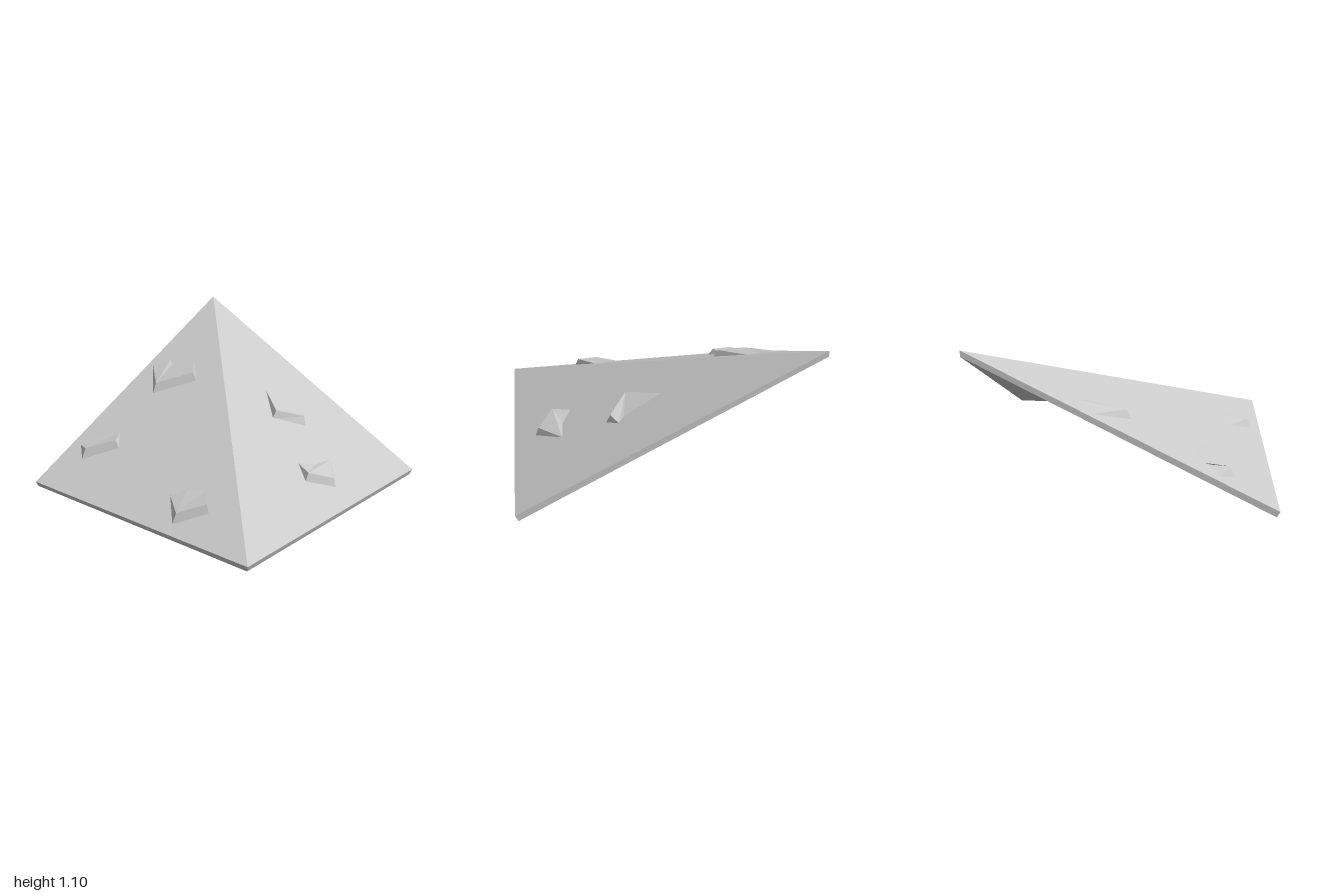
import * as THREE from 'three';

const material = new THREE.MeshStandardMaterial({ color: 0xcccccc, flatShading: true });
const v = (x, y, z) => new THREE.Vector3(x, y, z);

// Mesh from convex polygons given as lists of corners, fanned from the first corner
function facetMesh(name, polygons) {
  const points = [];
  for (const p of polygons)
    for (let i = 1; i < p.length - 1; i++) points.push(p[0], p[i], p[i + 1]);
  const geometry = new THREE.BufferGeometry().setFromPoints(points);
  geometry.computeVertexNormals();
  const mesh = new THREE.Mesh(geometry, material);
  mesh.name = name;
  return mesh;
}

// Roof corners, each with its upper and lower point
const peak = [v(-1, 1.1, -1), v(-1, 1.06, -1)];
const leftEave = [v(-1, 0.05, 1), v(-1, 0.01, 0.98)];
const hipFoot = [v(0.975, 0.045, 0.965), v(0.955, 0, 0.945)];
const rightEave = [v(1, 0.045, -1), v(0.98, 0, -1)];

// Triangular slab; the edge along the hip is shared and left open
function slab(name, corners, outerEdges) {
  const [a, b, c] = corners;
  const rims = outerEdges.map(([s, e]) => [s[0], s[1], e[1], e[0]]);
  return facetMesh(name, [[a[0], b[0], c[0]], [c[1], b[1], a[1]], ...rims]);
}

// Loose shingle: outer corners lie on the slope, two front corners are lifted
function shingle(name, corners, { left, front, right, back, notch, frontTop, rightTop }) {
  const plane = new THREE.Plane().setFromCoplanarPoints(...corners.map((c) => c[0]));
  const n = plane.normal;
  const on = ([x, z], lift = 0) => v(x, lift - (n.x * x + n.z * z + plane.constant) / n.y, z);
  const L = on(left), F = on(front, -0.005), R = on(right, -0.005), B = on(back);
  const FT = on(frontTop, 0.053), RT = on(rightTop, 0.05);
  const N = notch.map((p) => on(p, 0.003));
  return facetMesh(name, [
    [FT, RT, B, ...N, L],
    [L, F, FT],
    [F, R, RT, FT],
    [R, B, RT],
  ]);
}

export function createModel() {
  const group = new THREE.Group();
  group.name = 'roofCorner';

  const frontFace = [peak, leftEave, hipFoot];
  const sideFace = [peak, hipFoot, rightEave];
  group.add(slab('frontRoofSlab', frontFace, [[peak, leftEave], [leftEave, hipFoot]]));
  group.add(slab('sideRoofSlab', sideFace, [[hipFoot, rightEave], [rightEave, peak]]));

  // Shingles as [x, z] positions on each slope
  const frontShingles = [
    { left: [-0.95, -0.2], front: [-0.72, 0.04], right: [-0.455, -0.17], back: [-0.65, -0.36],
      notch: [[-0.78, -0.25], [-0.84, -0.29]], frontTop: [-0.725, 0.0], rightTop: [-0.495, -0.18] },
    { left: [-0.92, 0.62], front: [-0.8, 0.72], right: [-0.58, 0.545], back: [-0.69, 0.43],
      notch: [[-0.84, 0.51], [-0.81, 0.56]], frontTop: [-0.8, 0.68], rightTop: [-0.62, 0.54] },
    { left: [0.11, 0.73], front: [0.29, 0.905], right: [0.475, 0.75], back: [0.33, 0.6],
      notch: [[0.24, 0.65], [0.2, 0.66]], frontTop: [0.295, 0.87], rightTop: [0.45, 0.74] },
  ];
  const sideShingles = [
    { left: [-0.03, -0.5], front: [0.19, -0.3], right: [0.35, -0.5], back: [0.27, -0.59],
      notch: [[0.23, -0.545]], frontTop: [0.195, -0.335], rightTop: [0.32, -0.515] },
    { left: [0.57, -0.11], front: [0.7, -0.015], right: [0.835, -0.2], back: [0.65, -0.4],
      notch: [[0.635, -0.23]], frontTop: [0.7, -0.05], rightTop: [0.81, -0.2] },
  ];
  frontShingles.forEach((s, i) => group.add(shingle(`frontShingle${i + 1}`, frontFace, s)));
  sideShingles.forEach((s, i) => group.add(shingle(`sideShingle${i + 1}`, sideFace, s)));
  return group;
}
